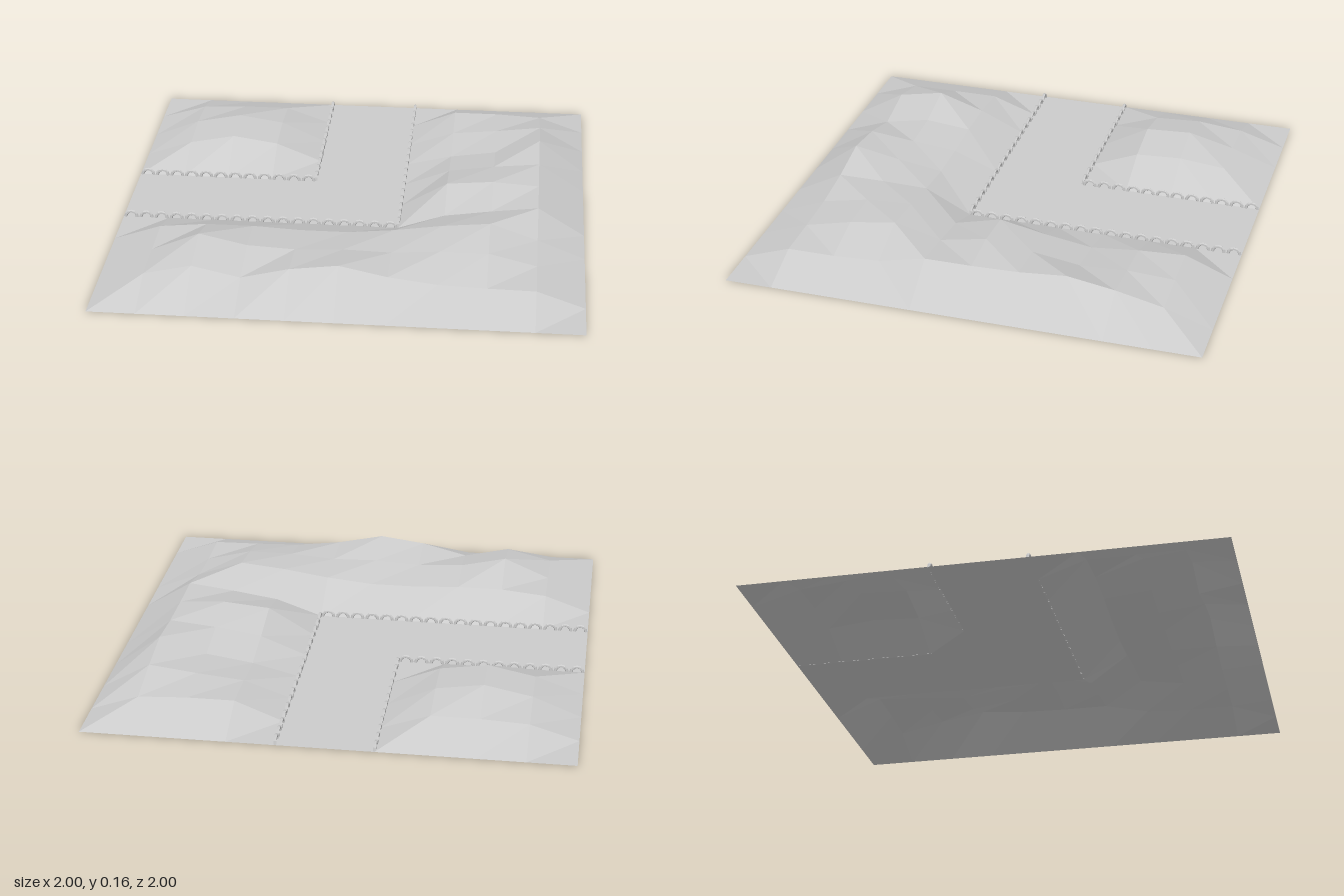
import * as THREE from 'three';

// Hill heights, in rows from back to front; everything else lies at zero.
const backHill = [ // x -0.8..-0.4, z -0.8..-0.4
  [0.06, 0.07, 0.07],
  [0.08, 0.12, 0.09],
  [0.07, 0.11, 0.08],
];
const sideHill = [ // x 0.4..0.8, z -0.8..0.2
  [0.08, 0.08, 0.07],
  [0.07, 0.09, 0.115],
  [0.05, 0.08, 0.147],
  [0.08, 0.11, 0.13],
  [0.12, 0.138, 0.125],
  [0.07, 0.10, 0.125],
];
const frontHill = [ // x -0.8..0.8, z 0.4..0.8
  [0.07, 0.09, 0.09, 0.08, 0.08, 0.10, 0.13, 0.15, 0.08],
  [0.07, 0.155, 0.11, 0.10, 0.11, 0.105, 0.12, 0.12, 0.07],
  [0.07, 0.117, 0.072, 0.122, 0.148, 0.105, 0.08, 0.073, 0.07],
];

// Height at grid corner (column i, row j), both 0..10
function heightAt(i, j) {
  const pick = (rows, i0, j0) => rows[j - j0]?.[i - i0] ?? 0;
  return pick(backHill, 1, 1) + pick(sideHill, 7, 1) + pick(frontHill, 1, 7);
}

export function createModel() {
  const model = new THREE.Group();
  const groundMaterial = new THREE.MeshStandardMaterial({
    color: 0xcccccc, flatShading: true, side: THREE.DoubleSide,
  });
  const edgingMaterial = new THREE.MeshStandardMaterial({ color: 0xcccccc, flatShading: true });

  // Ground: a grid of square cells, flat along the bent path
  const ground = new THREE.PlaneGeometry(2, 2, 10, 10).rotateX(-Math.PI / 2);
  const pos = ground.attributes.position;
  for (let k = 0; k < pos.count; k++) pos.setY(k, heightAt(k % 11, Math.floor(k / 11)));
  const terrain = new THREE.Mesh(ground, groundMaterial);
  terrain.name = 'terrain';
  model.add(terrain);

  // Path edging: rows of little hoops
  const pitch = 0.2 / 3;
  const hoopGeometry = new THREE.TorusGeometry(0.025, 0.007, 6, 6, Math.PI);
  function addEdging(name, offset, end, alongZ) {
    const row = new THREE.Group();
    row.name = name;
    const count = Math.round((end + 1) / pitch);
    for (let n = 0; n < count; n++) {
      const hoop = new THREE.Mesh(hoopGeometry, edgingMaterial);
      hoop.name = 'hoop';
      const along = -1 + (n + 0.5) * pitch;
      hoop.position.set(alongZ ? offset : along, 0, alongZ ? along : offset);
      if (alongZ) hoop.rotation.y = Math.PI / 2;
      row.add(hoop);
    }
    model.add(row);
  }
  for (const [name, c] of [['inner', -0.2], ['outer', 0.2]]) {
    addEdging(name + 'EdgingAcross', c, c, false);
    addEdging(name + 'EdgingBack', c, c, true);
  }
  return model;
}
